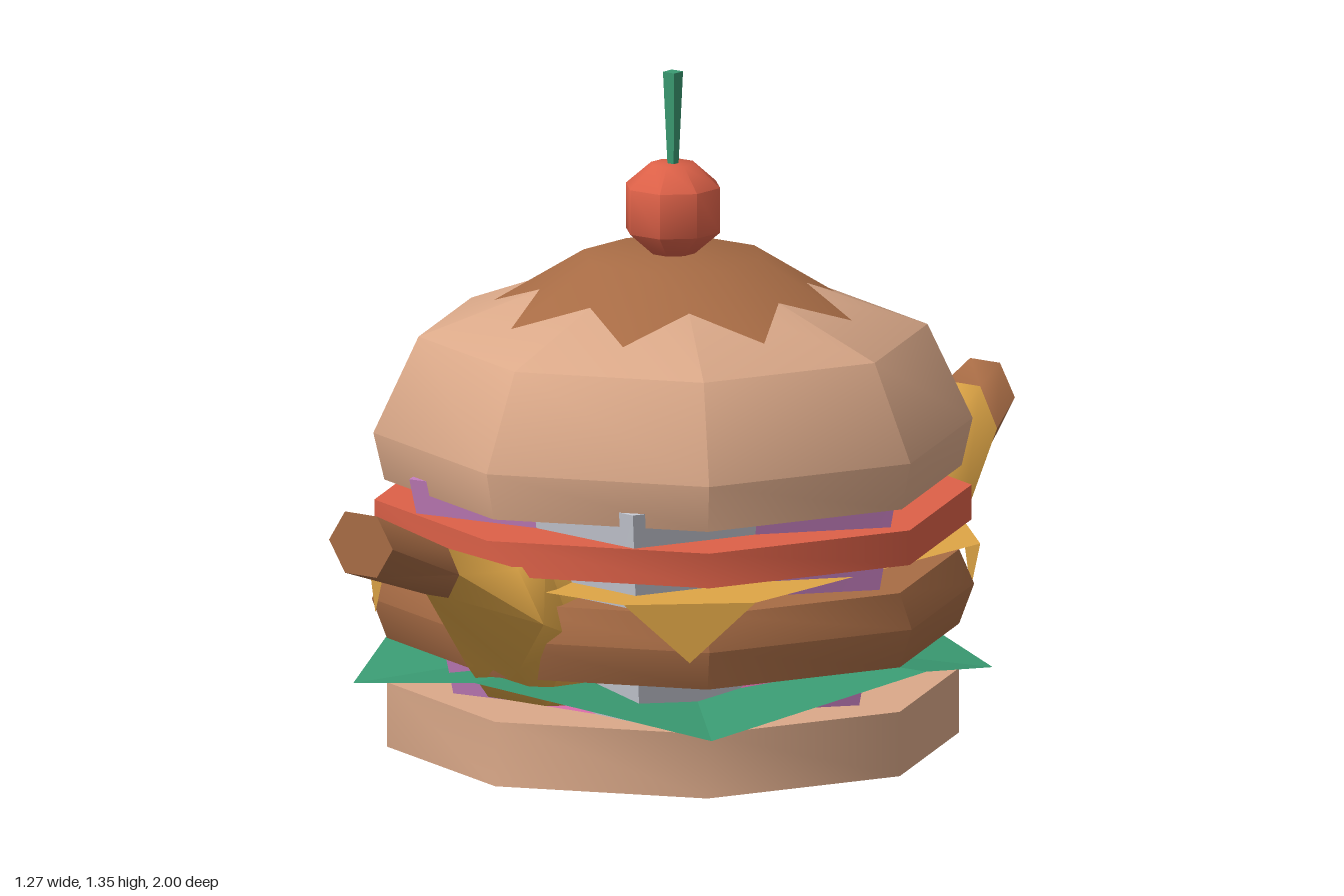
import * as THREE from 'three';
import { toCreasedNormals } from 'three/addons/utils/BufferGeometryUtils.js';

const mat = (name, color, side = THREE.FrontSide) =>
  new THREE.MeshStandardMaterial({ name, color, side });

// geometry from a flat list of triangle corners, smoothed below the crease angle
function fromTriangles(points, crease = 0) {
  const g = new THREE.BufferGeometry().setFromPoints(points);
  g.computeVertexNormals();
  return crease ? toCreasedNormals(g, crease) : g;
}
const quad = (a, b, c, d) => [a, b, c, a, c, d];
const V = (x, y, z) => new THREE.Vector3(x, y, z);
const polar = (r, angle, y) => V(r * Math.cos(angle), y, r * Math.sin(angle));

// closed octagonal layer from a [radius, height] profile
function layer(profile, turn = 0) {
  const pts = profile.map(([r, y]) => new THREE.Vector2(r, y));
  const g = new THREE.LatheGeometry(pts, 8);
  g.rotateY(turn);
  return toCreasedNormals(g, 0.9);
}

// hexagonal tube through [z, y, halfWidth, halfHeight] sections, from front to back
function hexTube(sections, capFront, capBack) {
  const ring = sections.map(([z, y, rx, ry]) => Array.from({ length: 6 }, (_, k) => {
    const t = k * Math.PI / 3;
    return V(rx * Math.cos(t), y + ry * Math.sin(t) / Math.sin(Math.PI / 3), z);
  }));
  const tri = [];
  for (let k = 0; k < 6; k++) {
    const n = (k + 1) % 6;
    for (let i = 0; i + 1 < ring.length; i++)
      tri.push(...quad(ring[i][k], ring[i + 1][k], ring[i + 1][n], ring[i][n]));
    const [zf, yf] = sections[0], [zb, yb] = sections[sections.length - 1];
    if (capFront) tri.push(V(0, yf, zf), ring[0][k], ring[0][n]);
    if (capBack) tri.push(V(0, yb, zb), ring[ring.length - 1][n], ring[ring.length - 1][k]);
  }
  return fromTriangles(tri, 1.1);
}

export function createModel() {
  const model = new THREE.Group();
  model.name = 'dessertBurger';

  const bun = mat('bun', 0xdba989);
  const brown = mat('brown', 0xa86c45);
  const red = mat('red', 0xdd6148);
  const green = mat('green', 0x3a9a72, THREE.DoubleSide);
  const yellow = mat('yellow', 0xdea546, THREE.DoubleSide);
  const cream = mat('cream', 0xc9ccd6);
  const purple = mat('purple', 0xc57fbe);
  const pink = mat('pink', 0xe070b0);

  const add = (name, geometry, material) => {
    const mesh = new THREE.Mesh(geometry, material);
    mesh.name = name;
    model.add(mesh);
    return mesh;
  };

  // stacked octagonal layers
  add('bottomBun', layer([[0, 0], [0.57, 0], [0.57, 0.13], [0, 0.13]]), bun);
  add('patty', layer([[0, 0.22], [0.57, 0.22], [0.6, 0.3], [0.57, 0.37], [0, 0.37]]), brown);
  add('tomato', layer([[0, 0.43], [0.595, 0.43], [0.595, 0.5], [0, 0.5]]), red);
  add('topBun', layer([[0, 0.54], [0.575, 0.54], [0.597, 0.635], [0.507, 0.827],
    [0.17, 0.952], [0, 0.952]]), bun);
  add('sauce', layer([[0, 0.86], [0.37, 0.866], [0.184, 0.98], [0, 0.98]], Math.PI / 8), brown);
  add('berryFilling', layer([[0, 0.13], [0.42, 0.13], [0.39, 0.22], [0, 0.22]], Math.PI / 8), pink);

  // fluted six-pointed filling, alternating colours
  const yLow = -0.002, yHigh = 0.57, half = Math.PI / 6;
  const outer = [0.44, 0.562], inner = [0.35, 0.45];
  for (let k = 0; k < 6; k++) {
    const a = k * Math.PI / 3;
    const [b, t] = [yLow, yHigh].map((y, i) => ({
      c: V(0, y, 0),
      o: polar(outer[i], a, y),
      l: polar(inner[i], a - half, y),
      r: polar(inner[i], a + half, y),
    }));
    add('fillingFlute', fromTriangles([
      ...quad(b.r, b.o, t.o, t.r), ...quad(b.o, b.l, t.l, t.o),
      ...quad(t.c, t.r, t.o, t.l),
    ]), k % 2 ? cream : purple);
    add('fillingBase', fromTriangles(quad(b.c, b.l, b.o, b.r)), cream);
  }

  // lettuce: a thin sheet whose rim rises on the axes and droops on the diagonals
  const rim = Array.from({ length: 8 }, (_, k) =>
    polar(k === 6 ? 0.6 : 0.637, k * Math.PI / 4, k % 2 ? 0.13 : 0.22));
  const leaf = [];
  rim.forEach((p, k) => leaf.push(V(0, 0.219, 0), rim[(k + 1) % 8], p));
  add('lettuce', fromTriangles(leaf), green);

  // cheese: a sheet with its four corners folded down
  const corners = [];
  for (const [sx, sz] of [[1, 1], [-1, 1], [-1, -1], [1, -1]]) {
    const pair = [V(0.49 * sx, 0.4, 0.36 * sz), V(0.3 * sx, 0.4, 0.54 * sz)];
    if (sx * sz < 0) pair.reverse();
    corners.push(...pair);
    add('cheeseCorner', fromTriangles([pair[1], pair[0], V(0.395 * sx, 0.28, 0.45 * sz)]), yellow);
  }
  const sheet = [];
  corners.forEach((p, k) => sheet.push(V(0, 0.4, 0), corners[(k + 1) % 8], p));
  add('cheese', fromTriangles(sheet), yellow);

  // banana running front to back, both ends curving up
  const frontNeck = [0.755, 0.465, 0.055, 0.05], backNeck = [-0.93, 0.485, 0.085, 0.08];
  add('bananaPeel', hexTube([frontNeck, [0.58, 0.345, 0.13, 0.105], [0.5, 0.31, 0.145, 0.15],
    [0.3, 0.24, 0.15, 0.11], [-0.3, 0.2, 0.16, 0.1], [-0.54, 0.25, 0.18, 0.15],
    [-0.75, 0.33, 0.14, 0.13], backNeck]), yellow);
  add('bananaStem', hexTube([[1, 0.56, 0.08, 0.062], frontNeck], true, false), brown);
  add('bananaTip', hexTube([backNeck, [-1, 0.535, 0.075, 0.065]], false, true), brown);

  // cherry and its stem
  add('cherry', layer([[0, 0.985], [0.045, 0.985], [0.097, 1.03], [0.097, 1.12],
    [0.045, 1.165], [0, 1.165]], Math.PI / 8), red);
  const stem = new THREE.CylinderGeometry(0.02, 0.01, 0.21, 4).toNonIndexed();
  stem.computeVertexNormals();
  stem.rotateY(Math.PI / 4);
  stem.translate(0, 1.245, 0);
  add('cherryStem', stem, green);

  return model;
}
